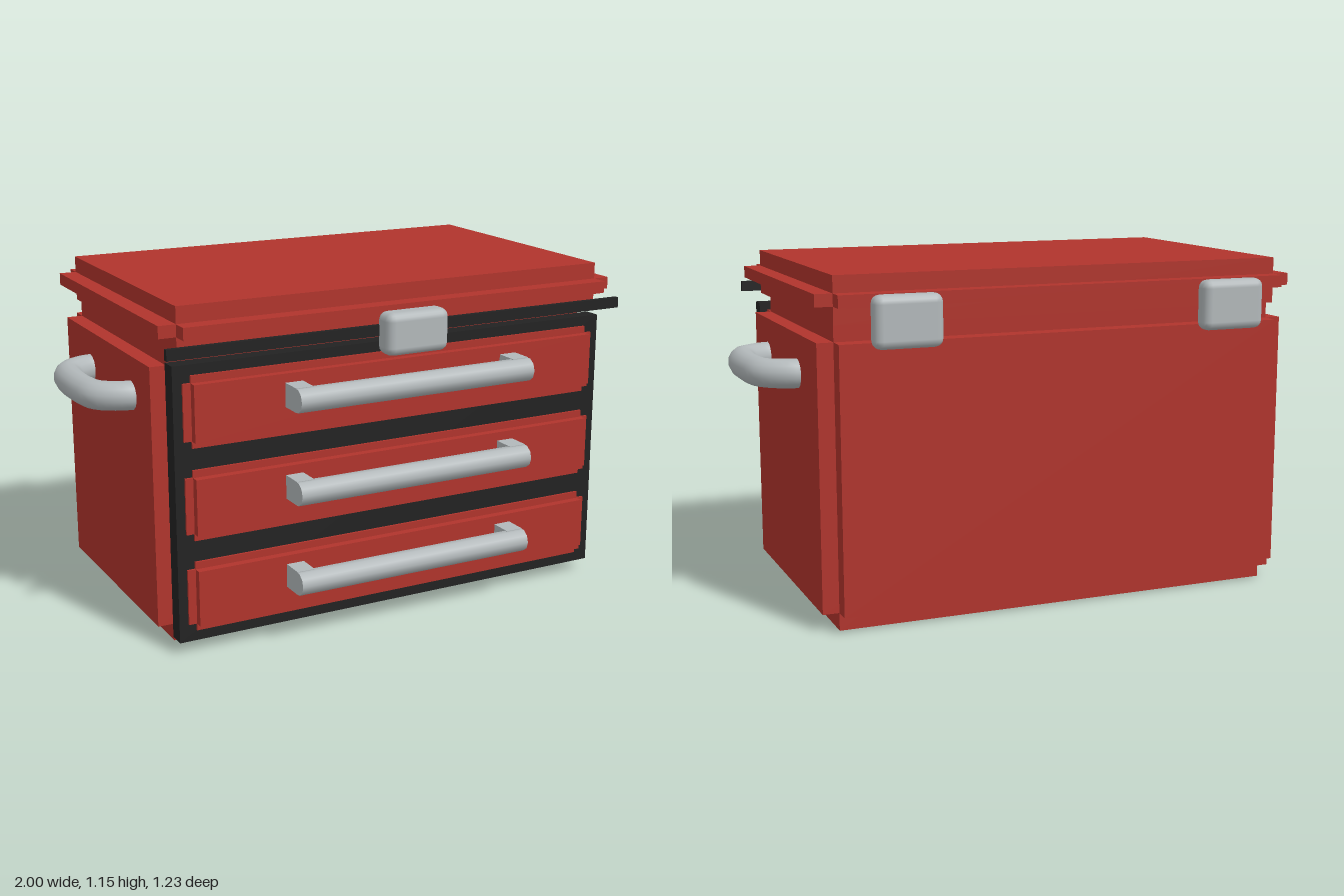
import * as THREE from 'three';
import { RoundedBoxGeometry } from 'three/addons/geometries/RoundedBoxGeometry.js';

const mat = (name, color) => {
  const m = new THREE.MeshStandardMaterial({ color });
  m.name = name;
  return m;
};

export function createModel() {
  const red = mat('red paint', 0xb0342c);
  const black = mat('black trim', 0x222222);
  const steel = mat('steel', 0xb2b8ba);
  const root = new THREE.Group();

  const add = (parent, name, geometry, material) => {
    const mesh = new THREE.Mesh(geometry, material);
    mesh.name = name;
    parent.add(mesh);
    return mesh;
  };
  // Box given by its limits on each axis
  const box = (parent, name, material, [x0, x1], [y0, y1], [z0, z1]) => {
    const mesh = add(parent, name, new THREE.BoxGeometry(x1 - x0, y1 - y0, z1 - z0), material);
    mesh.position.set((x0 + x1) / 2, (y0 + y1) / 2, (z0 + z1) / 2);
    return mesh;
  };
  const padded = (name, [x, y, z], [w, h, d]) =>
    add(root, name, new RoundedBoxGeometry(w, h, d, 2, 0.028), steel).position.set(x, y, z);
  const group = (name) => {
    const g = new THREE.Group();
    g.name = name;
    root.add(g);
    return g;
  };

  // Body: a core with raised panels, leaving stepped edges
  const body = group('body');
  box(body, 'bodyCore', red, [-0.78, 0.78], [0, 0.998], [-0.475, 0.345]);
  box(body, 'frontBackPanels', red, [-0.78, 0.78], [0.06, 0.94], [-0.535, 0.41]);
  box(body, 'sidePanels', red, [-0.835, 0.835], [0.06, 0.94], [-0.475, 0.345]);

  // Lid with a stepped rim
  const lid = group('lid');
  box(lid, 'lidCore', red, [-0.787, 0.787], [0.996, 1.152], [-0.503, 0.46]);
  box(lid, 'lidRimFrontBack', red, [-0.787, 0.787], [1.055, 1.096], [-0.56, 0.518]);
  box(lid, 'lidRimSides', red, [-0.846, 0.846], [1.055, 1.096], [-0.503, 0.46]);
  box(root, 'lidTrim', black, [-0.846, 0.846], [0.999, 1.035], [0.507, 0.525]);

  // Drawer frame
  box(root, 'drawerFrame', black, [-0.806, 0.806], [0.042, 0.965], [0.404, 0.462]);

  // Three drawers with bar handles
  for (let i = 0; i < 3; i++) {
    const drawer = group('drawer');
    drawer.position.y = 0.197 + i * 0.308;
    box(drawer, 'drawerFace', red, [-0.748, 0.748], [-0.094, 0.094], [0.45, 0.497]);
    box(drawer, 'drawerEdgeTall', red, [-0.748, 0.748], [-0.118, 0.118], [0.45, 0.47]);
    box(drawer, 'drawerEdgeWide', red, [-0.775, 0.775], [-0.094, 0.094], [0.45, 0.47]);
    const bar = add(drawer, 'drawerHandleBar',
      new THREE.CylinderGeometry(0.04, 0.04, 0.874, 10), steel);
    bar.rotation.z = Math.PI / 2;
    bar.position.set(0, 0.024, 0.576);
    for (const s of [-1, 1]) {
      const post = box(drawer, 'drawerHandlePost', steel,
        [-0.031, 0.031], [-0.016, 0.064], [0.48, 0.576]);
      post.position.x = s * 0.406;
    }
  }

  // Front latch and rear hinges
  padded('latch', [0, 1.011, 0.55], [0.23, 0.142, 0.086]);
  for (const s of [-1, 1]) padded('hinge', [s * 0.573, 1.01, -0.581], [0.228, 0.17, 0.07]);

  // Side carrying handles
  for (const s of [-1, 1]) {
    const half = [[0.8, 0.202], [0.86, 0.197], [0.93, 0.15], [0.95, 0.08]];
    const points = [
      ...half.map(([x, z]) => new THREE.Vector3(s * x, 0.808, -0.03 - z)),
      ...half.slice().reverse().map(([x, z]) => new THREE.Vector3(s * x, 0.808, -0.03 + z)),
    ];
    const path = new THREE.CatmullRomCurve3(points, false, 'centripetal');
    add(root, 'sideHandle', new THREE.TubeGeometry(path, 28, 0.049, 14), steel);
  }

  return root;
}
